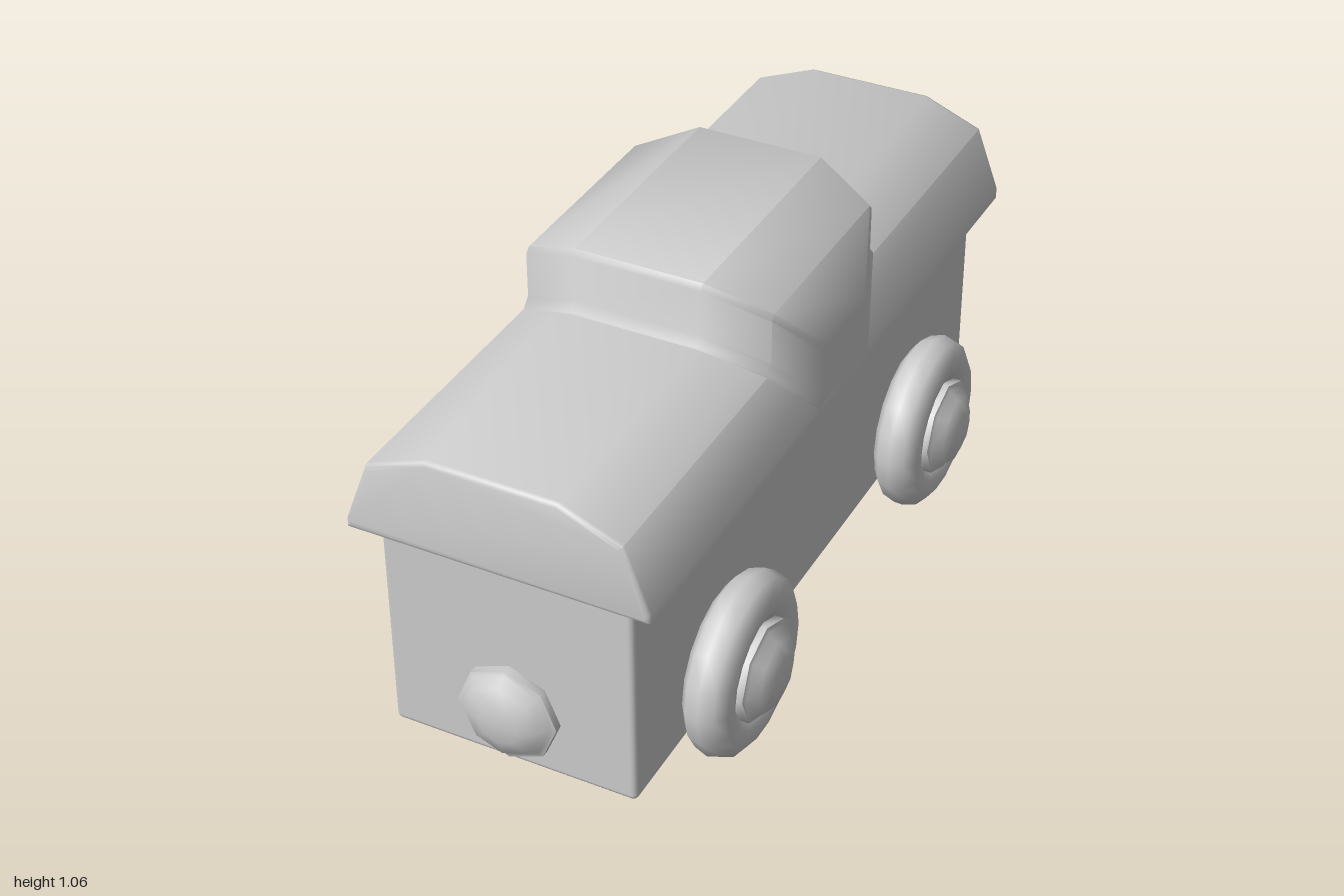
import * as THREE from 'three';
import { toCreasedNormals } from 'three/addons/utils/BufferGeometryUtils.js';
import { RoundedBoxGeometry } from 'three/addons/geometries/RoundedBoxGeometry.js';

// Raised cabin: rings around a twelve-sided plan, closed by strips across the top
function cabinGeometry() {
  // half-width, half-length, top height, height where it meets the roof
  const half = [[0.16, 0.32, 1.065, 0.91], [0.31, 0.27, 1.0, 0.85], [0.37, 0.12, 0.85, 0.69]];
  const front = [...half.map(([x, ...r]) => [-x, ...r]).reverse(), ...half];
  const plan = [...front, ...front.map(([x, z, t, b]) => [x, -z, t, b]).reverse()];
  const rings = [
    ([x, z, t, b]) => [x, b - 0.01, z + Math.sign(z) * 0.025],
    ([x, z, t, b]) => [x, b + 0.005, z + Math.sign(z) * 0.018],
    ([x, z, t, b]) => [x, b + 0.025, z],
    ([x, z, t]) => [x, t - 0.014, z],
    ([x, z, t]) => [x, t, z - Math.sign(z) * 0.012],
  ];
  const n = plan.length, index = [];
  const quad = (a, b, c, d) => index.push(a, b, c, a, c, d);
  for (let i = 0; i < rings.length - 1; i++) {
    for (let j = 0; j < n; j++) {
      const k = (j + 1) % n;
      quad(i * n + j, i * n + k, (i + 1) * n + k, (i + 1) * n + j);
    }
  }
  const top = (rings.length - 1) * n;
  for (let j = 0; j < n / 2 - 1; j++) quad(top + j, top + j + 1, top + n - 2 - j, top + n - 1 - j);
  const g = new THREE.BufferGeometry();
  g.setAttribute('position', new THREE.Float32BufferAttribute(rings.flatMap((f) => plan.flatMap(f)), 3));
  g.setIndex(index);
  return toCreasedNormals(g, 0.9);
}

// Eight-sided domed cap standing on +y
function capGeometry() {
  const profile = [[0, 0], [0.125, 0], [0.125, 0.022], [0.113, 0.026], [0.092, 0.05], [0.05, 0.066], [0, 0.07]];
  const g = new THREE.LatheGeometry(profile.map(([x, y]) => new THREE.Vector2(x, y)), 8);
  return toCreasedNormals(g, 0.82);
}

export function createModel() {
  const model = new THREE.Group();
  const grey = new THREE.MeshStandardMaterial({ color: 0xcccccc });
  grey.name = 'light grey';
  const add = (name, geometry, parent = model) => {
    const mesh = new THREE.Mesh(geometry, grey);
    mesh.name = name;
    parent.add(mesh);
    return mesh;
  };

  // Lower body
  add('body', new RoundedBoxGeometry(0.62, 0.55, 1.86, 2, 0.014)).position.y = 0.385;

  // Faceted hood running the whole length
  const right = [[0.37, 0.665], [0.37, 0.69], [0.31, 0.85], [0.16, 0.91]];
  const outline = [...right, ...right.map(([x, y]) => [-x, y]).reverse()];
  const hood = new THREE.ExtrudeGeometry(new THREE.Shape(outline.map(([x, y]) => new THREE.Vector2(x, y))), {
    depth: 1.916, bevelThickness: 0.012, bevelSize: 0.012, bevelOffset: -0.012, bevelSegments: 2,
  });
  hood.translate(0, 0, -0.958);
  add('hood', toCreasedNormals(hood, 0.86));

  add('cabin', cabinGeometry());

  // Lamps at both ends
  const cap = capGeometry();
  for (const s of [1, -1]) {
    const lamp = add(s > 0 ? 'frontLamp' : 'rearLamp', cap);
    lamp.position.set(0, 0.26, s * 0.928);
    lamp.rotation.x = s * Math.PI / 2;
  }

  // Wheels: tyre ring with a domed hub
  const tyre = new THREE.TorusGeometry(0.166, 0.06, 10, 18).rotateY(Math.PI / 2);
  for (const sx of [1, -1]) {
    for (const sz of [1, -1]) {
      const wheel = new THREE.Group();
      wheel.name = (sz > 0 ? 'front' : 'rear') + (sx > 0 ? 'Left' : 'Right') + 'Wheel';
      wheel.position.set(sx * 0.37, 0.23, sz * 0.53);
      add('tyre', tyre, wheel);
      const hub = add('hub', cap, wheel);
      hub.position.x = sx * 0.041;
      hub.rotation.z = -sx * Math.PI / 2;
      model.add(wheel);
    }
  }
  return model;
}
